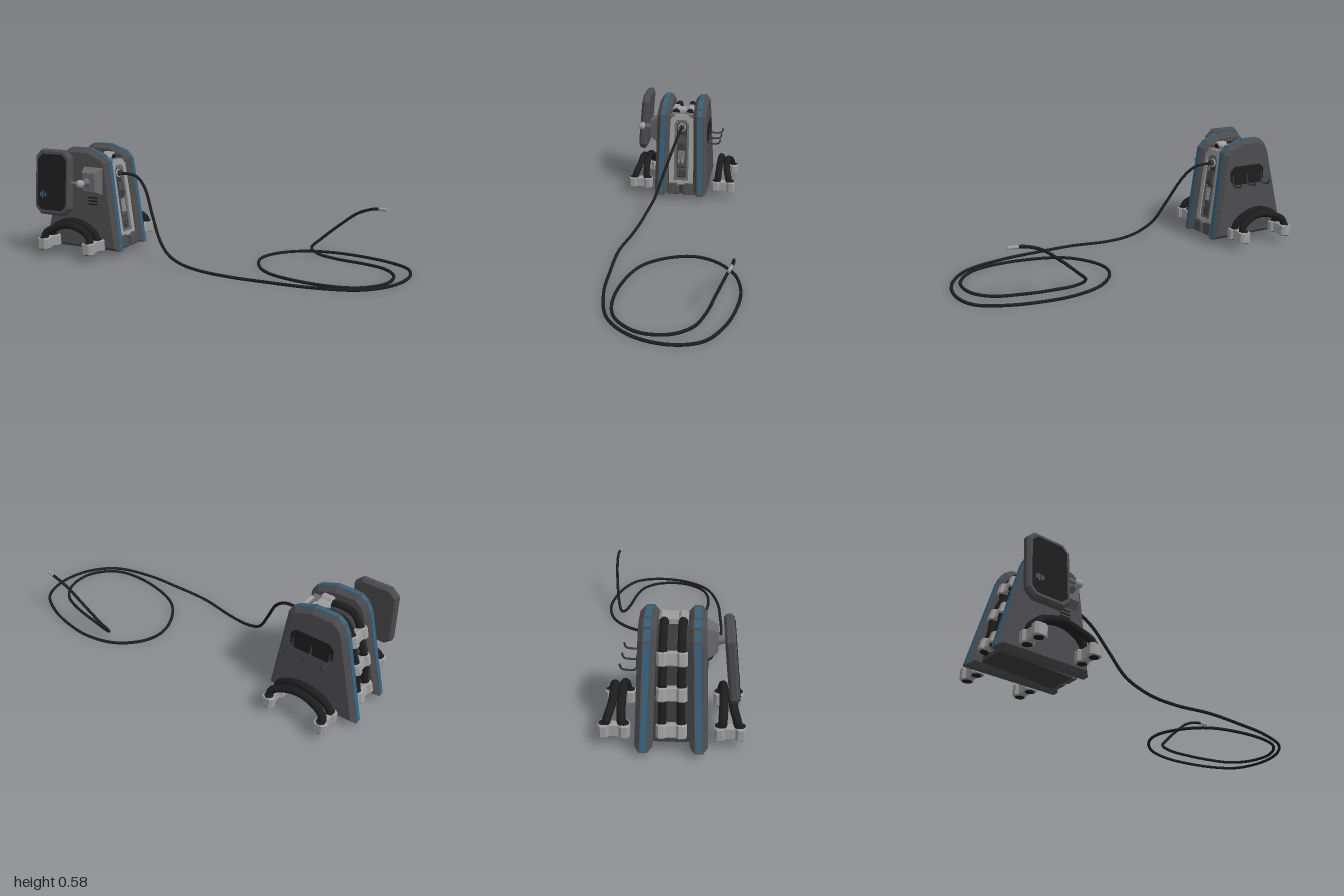
import * as THREE from 'three';

const mat = (name, color, side = THREE.FrontSide) => {
  const m = new THREE.MeshStandardMaterial({ color, side });
  m.name = name;
  return m;
};
const panelGrey = mat('panel grey', 0x4c4c4e);
const darkGrey = mat('dark grey', 0x39393b);
const midGrey = mat('mid grey', 0x68686a);
const lightGrey = mat('light grey', 0x9c9c9c);
const black = mat('rubber black', 0x1d1d1e);
const blue = mat('accent blue', 0x34607c);

const MID = 0.058; // z of the cabinet's middle plane
const V = (x, y, z) => new THREE.Vector3(x, y, z);

function add(parent, name, geo, material, x = 0, y = 0, z = 0) {
  const m = new THREE.Mesh(geo, material);
  m.name = name;
  m.position.set(x, y, z);
  parent.add(m);
  return m;
}
const box = (w, h, d) => new THREE.BoxGeometry(w, h, d);
const polygon = (pts) => new THREE.Shape(pts.map(([x, y]) => new THREE.Vector2(x, y)));

// Extrusion centred on z = 0 whose bevel stays inside the outline
function slab(shape, depth, bevel = 0) {
  const g = new THREE.ExtrudeGeometry(shape, {
    depth: depth - 2 * bevel, bevelEnabled: bevel > 0, bevelThickness: bevel,
    bevelSize: bevel, bevelOffset: -bevel, bevelSegments: 1, curveSegments: 8,
  });
  return g.translate(0, 0, -depth / 2 + bevel);
}
function octagon(w, h, c) {
  const x = w / 2, y = h / 2;
  return polygon([[-x + c, -y], [x - c, -y], [x, -y + c], [x, y - c], [x - c, y], [-x + c, y], [-x, y - c], [-x, -y + c]]);
}
function tube(points, radius, segments = 40, tension = 0.5) {
  const curve = new THREE.CatmullRomCurve3(points, false, 'centripetal', tension);
  return new THREE.TubeGeometry(curve, segments, radius, 10, false);
}
// Cylinder between two points
function rod(parent, name, a, b, ra, rb, material) {
  const dir = b.clone().sub(a);
  const m = add(parent, name, new THREE.CylinderGeometry(rb, ra, dir.length(), 16), material);
  m.position.copy(a).addScaledVector(dir, 0.5);
  m.quaternion.setFromUnitVectors(V(0, 1, 0), dir.normalize());
  return m;
}

// Trapezoid side panels with blue edge strips; both lean out at the bottom
const PROFILE = [[-1, 0.03], [-0.51, 0.03], [-0.575, 0.51], [-0.605, 0.545], [-0.7, 0.58], [-0.82, 0.58], [-0.86, 0.55], [-0.885, 0.5]];
function sidePanel(s) {
  const g = new THREE.Group();
  g.name = s > 0 ? 'frontPanel' : 'backPanel';
  const lean = (geo) => {
    const p = geo.attributes.position;
    for (let i = 0; i < p.count; i++) p.setZ(i, p.getZ(i) + MID + s * (0.105 + 0.014 * (0.58 - p.getY(i)) / 0.55));
    geo.computeVertexNormals();
    return geo;
  };
  add(g, 'panelShell', lean(slab(polygon(PROFILE), 0.078, 0.021)), panelGrey);
  for (let i = 1; i < PROFILE.length; i++) {
    const a = PROFILE[i], b = PROFILE[(i + 1) % PROFILE.length];
    const dx = b[0] - a[0], dy = b[1] - a[1], len = Math.hypot(dx, dy);
    const strip = box(len - 0.012, 0.006, 0.028).rotateZ(Math.atan2(dy, dx))
      .translate((a[0] + b[0]) / 2, (a[1] + b[1]) / 2, 0);
    add(g, 'edgeStrip', lean(strip), blue);
  }
  return g;
}

// Dumbbell-shaped clamp, long in z, its thickness along y
function clamp(name) {
  const outline = [[-0.07, -0.018], [-0.058, -0.033], [-0.034, -0.033], [-0.022, -0.02]];
  const lower = [...outline, ...outline.map(([x, y]) => [-x, y]).reverse()];
  const shape = polygon([...lower, ...lower.map(([x, y]) => [x, -y]).reverse()]);
  const g = new THREE.Group();
  g.name = name;
  add(g, 'clampBody', slab(shape, 0.062, 0.005).rotateX(-Math.PI / 2).rotateY(Math.PI / 2), lightGrey);
  for (const z of [-0.044, 0.044]) for (const y of [-0.031, 0.031])
    add(g, 'clampHole', new THREE.CylinderGeometry(0.023, 0.023, 0.003, 16), black, 0, y, z);
  return g;
}

// Two bent rubber rails on a pair of feet
function bumper(s) {
  const g = new THREE.Group();
  g.name = s > 0 ? 'frontBumper' : 'backBumper';
  const zc = MID + s * 0.253;
  for (const x of [-0.89, -0.6]) {
    const foot = clamp('foot');
    foot.position.set(x, 0.075, zc);
    g.add(foot);
  }
  const rails = [[-0.035, -0.028, 0.195], [0.04, 0.012, 0.182]];
  for (const [zb, zt, top] of rails) {
    const pts = [[-0.895, 0.08, 0], [-0.885, 0.13, 0.4], [-0.83, top - 0.02, 0.9], [-0.745, top, 1], [-0.66, top - 0.02, 0.9], [-0.605, 0.13, 0.4], [-0.595, 0.08, 0]]
      .map(([x, y, t]) => V(x, y, zc + s * (zb + (zt - zb) * t)));
    add(g, 'rubberRail', tube(pts, 0.02), black);
  }
  return g;
}

// Core between the panels, with the port face on the +x side
function core() {
  const g = new THREE.Group();
  g.name = 'core';
  add(g, 'coreBody', slab(polygon([[-0.94, 0.05], [-0.555, 0.03], [-0.615, 0.47], [-0.64, 0.505], [-0.8, 0.5], [-0.85, 0.46]]), 0.16), darkGrey, 0, 0, MID);
  add(g, 'topCover', box(0.06, 0.03, 0.13), midGrey, -0.63, 0.497, MID);

  const face = new THREE.Group();
  face.name = 'portFace';
  face.position.set(-0.548, 0.03, MID);
  face.rotation.set(0, Math.PI / 2, 0.135, 'ZYX');
  g.add(face);
  const frame = polygon([[-0.072, 0.06], [0.072, 0.06], [0.072, 0.455], [0.036, 0.487], [-0.036, 0.487], [-0.072, 0.455]]);
  frame.holes.push(polygon([[-0.044, 0.085], [-0.044, 0.43], [-0.026, 0.455], [0.026, 0.455], [0.044, 0.43], [0.044, 0.085]]));
  add(face, 'portFrame', slab(frame, 0.03), lightGrey);
  const inner = polygon([[-0.044, 0.08], [0.044, 0.08], [0.044, 0.43], [0.026, 0.455], [-0.026, 0.455], [-0.044, 0.43]]);
  inner.holes.push(polygon([[-0.03, 0.1], [-0.03, 0.42], [-0.018, 0.437], [0.018, 0.437], [0.03, 0.42], [0.03, 0.1]]));
  add(face, 'innerFrame', slab(inner, 0.018), midGrey);
  add(face, 'recess', box(0.07, 0.34, 0.01), darkGrey, 0, 0.265, -0.006);
  // Latch, vent slots and speaker holes
  add(face, 'latch', box(0.05, 0.07, 0.018), panelGrey, 0, 0.325, 0.006);
  add(face, 'latchTab', box(0.034, 0.03, 0.014), darkGrey, 0, 0.3, 0.014);
  add(face, 'ventPlate', box(0.052, 0.1, 0.014), panelGrey, 0, 0.222, 0.004);
  for (let i = 0; i < 5; i++) add(face, 'ventSlot', box(0.004, 0.075, 0.004), lightGrey, -0.016 + i * 0.008, 0.23, 0.011);
  add(face, 'speakerPlate', box(0.054, 0.07, 0.012), panelGrey, 0, 0.125, 0.002);
  for (let i = 0; i < 5; i++) for (let j = 0; j < 4; j++)
    add(face, 'speakerHole', box(0.004, 0.004, 0.003), black, -0.018 + i * 0.009, 0.108 + j * 0.011, 0.008);
  // Cable socket
  add(face, 'socketRing', new THREE.TorusGeometry(0.02, 0.005, 8, 24), lightGrey, 0, 0.41, 0.008);
  add(face, 'socket', new THREE.CylinderGeometry(0.015, 0.018, 0.035, 20).rotateX(Math.PI / 2), darkGrey, 0, 0.41, 0.01);
  // Sloped base blocks
  for (const s of [-1, 1]) {
    const block = polygon([[s * 0.01, 0], [s * 0.08, 0], [s * 0.08, 0.07], [s * 0.026, 0.07], [s * 0.01, 0.05]]);
    add(face, 'baseBlock', slab(block, 0.04, 0.006), panelGrey, 0, 0, 0.004);
  }
  add(face, 'baseFill', box(0.15, 0.06, 0.02), darkGrey, 0, 0.035, -0.005);
  return g;
}

// Twin rubber handles running over the top and down the -x side
function spineHandle() {
  const g = new THREE.Group();
  g.name = 'spineHandle';
  for (const z of [MID - 0.04, MID + 0.04])
    add(g, 'rubberHandle', tube([V(-0.66, 0.508, z), V(-0.74, 0.523, z), V(-0.82, 0.515, z), V(-0.862, 0.46, z), V(-0.88, 0.38, z), V(-0.92, 0.27, z), V(-0.93, 0.18, z), V(-0.95, 0.08, z)], 0.018), black);
  const spots = [[-0.683, 0.513, Math.PI / 2], [-0.873, 0.42, -0.245], [-0.908, 0.27, -0.245], [-0.942, 0.11, -0.245]];
  for (const [x, y, r] of spots) {
    const c = clamp('handleClamp');
    c.position.set(x, y, MID);
    c.rotation.z = r;
    c.scale.z = 0.95;
    g.add(c);
  }
  return g;
}

// Tilted display on a ball joint
function display() {
  const g = new THREE.Group();
  g.name = 'display';
  const head = new THREE.Group();
  head.name = 'displayHead';
  head.position.set(-0.84, 0.407, 0.31);
  head.rotation.x = -0.095;
  g.add(head);
  add(head, 'displayCase', slab(octagon(0.23, 0.352, 0.04), 0.046, 0.012), panelGrey);
  add(head, 'displayGlass', slab(octagon(0.184, 0.3, 0.028), 0.004), black, 0, 0, 0.0235);
  for (let i = 0; i < 4; i++)
    add(head, 'levelBar', box(0.008, [0.022, 0.038, 0.03, 0.018][i], 0.003), blue, -0.072 + i * 0.012, -0.068, 0.0255);
  // Tapered wall mount, neck and ball
  const mount = new THREE.CylinderGeometry(0.07, 0.11, 0.055, 4, 1).rotateY(Math.PI / 4).rotateX(Math.PI / 2).toNonIndexed();
  mount.computeVertexNormals();
  add(g, 'mount', mount, midGrey, -0.66, 0.41, 0.226).scale.x = 0.8;
  rod(g, 'neck', V(-0.67, 0.41, 0.25), V(-0.67, 0.41, 0.3), 0.024, 0.01, midGrey);
  add(g, 'ballJoint', new THREE.SphereGeometry(0.022, 24, 16), lightGrey, -0.67, 0.41, 0.312);
  rod(g, 'arm', V(-0.67, 0.41, 0.312), V(-0.75, 0.41, 0.31), 0.011, 0.011, midGrey);
  for (let i = 0; i < 3; i++) add(g, 'ventSlot', box(0.06, 0.008, 0.006), black, -0.665, 0.318 - i * 0.018, 0.2075 + i * 0.0005);
  return g;
}

// Hook rail on the back
function hooks() {
  const g = new THREE.Group();
  g.name = 'hookRail';
  const plate = add(g, 'hookPlate', slab(octagon(0.23, 0.105, 0.025), 0.008), black, -0.725, 0.385, -0.091);
  plate.rotation.x = 0.025;
  for (const x of [-0.825, -0.725, -0.625])
    add(g, 'hook', tube([V(x, 0.39, -0.094), V(x, 0.345, -0.096), V(x, 0.335, -0.105), V(x, 0.336, -0.155), V(x, 0.342, -0.164), V(x, 0.365, -0.171)], 0.005, 24), darkGrey);
  return g;
}

// Coiled cable lying on the floor with a raised free end
function cable() {
  const g = new THREE.Group();
  g.name = 'cable';
  const drop = [[-0.58, 0.437, 0.058], [-0.53, 0.437, 0.059], [-0.47, 0.425, 0.065], [-0.41, 0.37, 0.085], [-0.34, 0.24, 0.13], [-0.27, 0.115, 0.172], [-0.2, 0.055, 0.207], [-0.12, 0.024, 0.23], [0, 0.009, 0.255]];
  const floor = [[0.19, 0.287], [0.41, 0.285], [0.62, 0.27], [0.83, 0.205], [0.95, 0.07], [0.99, -0.1], [0.95, -0.24], [0.83, -0.32], [0.67, -0.365], [0.51, -0.375], [0.35, -0.33],
    [0.235, -0.22], [0.2, -0.105], [0.245, 0.04], [0.35, 0.15], [0.62, 0.215], [0.81, 0.18], [0.915, 0.055], [0.915, -0.09], [0.845, -0.185], [0.73, -0.23], [0.565, -0.26]];
  const rise = [[0.45, 0.02, -0.285], [0.41, 0.043, -0.302], [0.46, 0.095, -0.32], [0.57, 0.19, -0.338], [0.65, 0.25, -0.345], [0.73, 0.28, -0.346], [0.78, 0.285, -0.34]];
  const pts = [...drop, ...floor.map(([x, z]) => [x, 0.009, z]), ...rise].map((p) => V(...p));
  add(g, 'cableRun', tube(pts, 0.008, 300), black);
  rod(g, 'cableTip', V(0.765, 0.284, -0.343), V(0.813, 0.284, -0.334), 0.009, 0.008, lightGrey);
  return g;
}

export function createModel() {
  const model = new THREE.Group();
  model.name = 'consoleWithCable';
  for (const s of [1, -1]) model.add(sidePanel(s), bumper(s));
  model.add(core(), spineHandle(), display(), hooks(), cable());
  return model;
}
